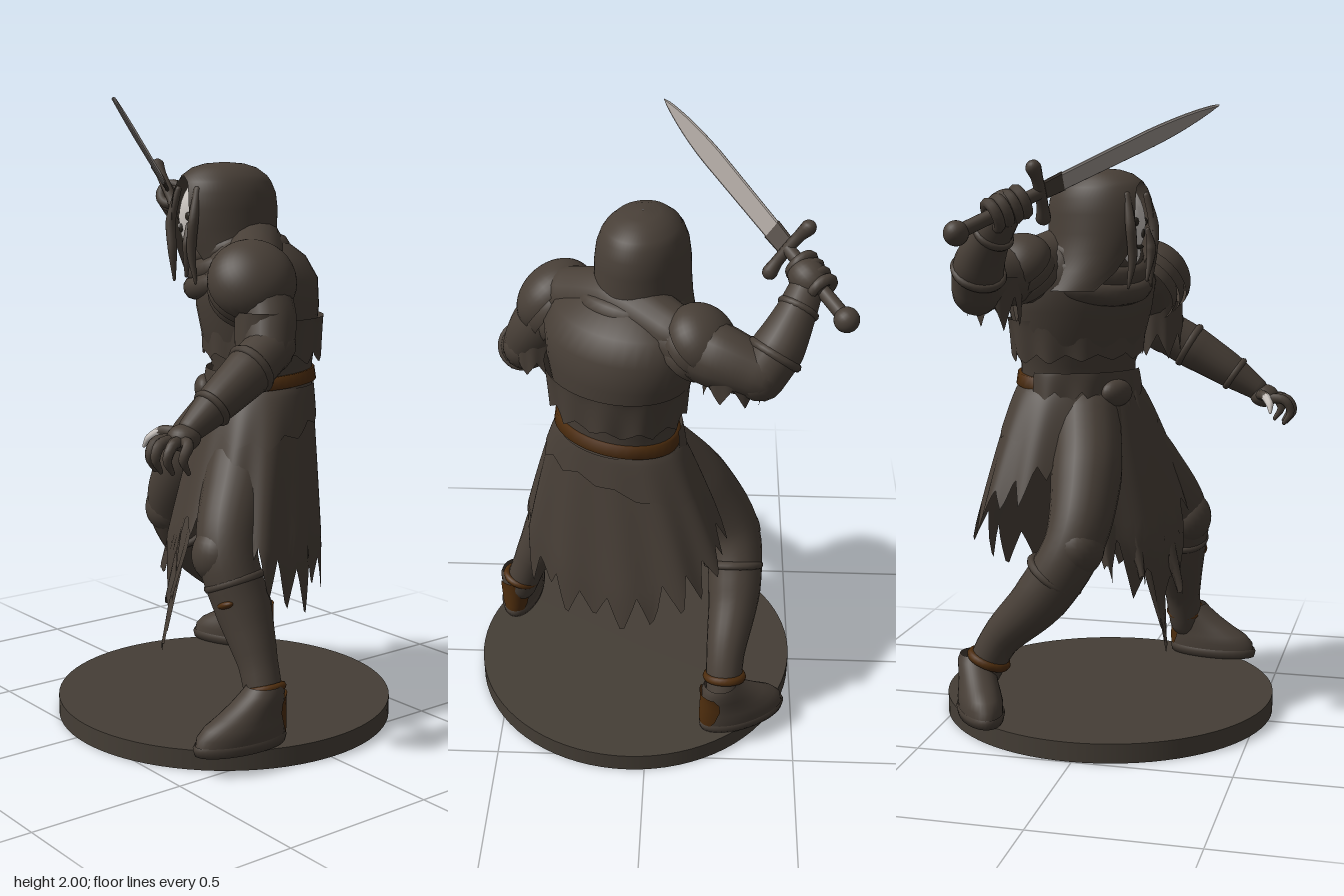
import * as THREE from 'three';
import { mergeVertices } from 'three/addons/utils/BufferGeometryUtils.js';

const material = (name, color) => {
  const m = new THREE.MeshStandardMaterial({ color, side: THREE.DoubleSide });
  m.name = name;
  return m;
};
const rnd = (i) => { const s = Math.sin(i * 127.1 + 3.7) * 43758.5; return s - Math.floor(s); };
const lerp = THREE.MathUtils.lerp;

// Smooth surface from fn(i, j): i runs around, j runs along
function grid(nu, nv, fn) {
  const pos = [], idx = [];
  for (let j = 0; j <= nv; j++) for (let i = 0; i <= nu; i++) pos.push(...fn(i, j));
  for (let j = 0; j < nv; j++) for (let i = 0; i < nu; i++) {
    const a = j * (nu + 1) + i, b = a + 1, c = a + nu + 1, d = c + 1;
    idx.push(a, b, d, a, d, c);
  }
  let g = new THREE.BufferGeometry();
  g.setAttribute('position', new THREE.Float32BufferAttribute(pos, 3));
  g.setIndex(idx);
  g = mergeVertices(g, 1e-5);
  g.computeVertexNormals();
  return g;
}

// Rounded tube through [x, y, z, radius] points
function limb(pts, nu = 18, n = 20) {
  const curve = new THREE.CatmullRomCurve3(pts.map((p) => new THREE.Vector3(p[0], p[1], p[2])));
  const f = curve.computeFrenetFrames(n, false), cap = 4;
  return grid(nu, n + 2 * cap, (i, j) => {
    const k = THREE.MathUtils.clamp(j - cap, 0, n), t = curve.getUtoTmapping(k / n) * (pts.length - 1);
    const s = Math.min(Math.floor(t), pts.length - 2), r = lerp(pts[s][3], pts[s + 1][3], t - s);
    const out = (j - cap - k) / cap, a = (out * Math.PI) / 2, th = (i % nu / nu) * Math.PI * 2;
    return curve.getPointAt(k / n).addScaledVector(f.tangents[k], r * Math.sin(a))
      .addScaledVector(f.normals[k], r * Math.cos(a) * Math.cos(th))
      .addScaledVector(f.binormals[k], r * Math.cos(a) * Math.sin(th)).toArray();
  });
}

// Stack of ellipses, bottom to top: [y, halfX, halfZ, centreZ, half angle left open at the front]
function shell(rows, nu = 40) {
  return grid(nu, rows.length - 1, (i, j) => {
    const [y, rx, rz, cz = 0, gap = 0] = rows[j];
    const a = lerp(gap, 2 * Math.PI - gap, i / nu);
    return [Math.sin(a) * rx, y, cz + Math.cos(a) * rz];
  });
}

// Hanging cloth with a torn hem; hem(angle) is its lower edge, shift moves the hem forward
function rag({ y, top, bot, drop, hem, teeth, amp, ripple = 0.03, shift = 0, from = -Math.PI, to = Math.PI }) {
  const nu = 160, nv = 14;
  return grid(nu, nv, (i, j) => {
    const a = lerp(from, to, i / nu), p = (i / nu) * teeth, tri = Math.abs((p % 1) * 2 - 1);
    const low = hem(a) + amp * (tri - rnd(Math.floor(p) % teeth) * (1 - tri));
    const h = lerp(low, y, j / nv), s = Math.pow(Math.min(1, (y - h) / drop), 0.8);
    const k = 1 + ripple * s * Math.sin(a * 11);
    return [Math.sin(a) * lerp(top[0], bot[0], s) * k, h, Math.cos(a) * lerp(top[1], bot[1], s) * k + shift * s];
  });
}

const SKIRT_HEM = [[-3.15, .45], [-2.7, .5], [-2.2, .62], [-1.5, .7], [-1, .77], [-.6, .87], [-.32, .64], [0, .48],
  [.4, .36], [.62, .6], [.85, .72], [1.3, .64], [1.8, .56], [2.4, .46], [3.15, .45]];
function skirtHem(a) {
  const i = Math.max(1, SKIRT_HEM.findIndex((p) => p[0] >= a)), [a0, h0] = SKIRT_HEM[i - 1], [a1, h1] = SKIRT_HEM[i];
  return lerp(h0, h1, (a - a0) / (a1 - a0));
}

export function createModel() {
  const cloth = material('darkCloth', 0x483f37), leather = material('brownLeather', 0x4e2d0d);
  const bone = material('paleBone', 0xcbc5c0), steel = material('steel', 0xa39b95);
  const stone = material('baseStone', 0x453e36), shadow = material('darkHollow', 0x2b2620);
  const model = new THREE.Group();
  const group = (name, x = 0, y = 0, z = 0, ry = 0) => {
    const g = new THREE.Group();
    g.name = name; g.position.set(x, y, z); g.rotation.y = ry;
    model.add(g);
    return g;
  };
  const add = (parent, name, geo, mat, x = 0, y = 0, z = 0) => {
    const m = new THREE.Mesh(geo, mat);
    m.name = name; m.position.set(x, y, z);
    parent.add(m);
    return m;
  };
  const ball = (parent, name, mat, p, s) => {
    const m = add(parent, name, new THREE.SphereGeometry(1, 24, 16), mat, ...p);
    m.scale.set(...s);
    return m;
  };
  // Ring wrapped round a limb running along dir
  const band = (name, mat, p, dir, r, tube) => {
    const m = add(model, name, new THREE.TorusGeometry(r, tube, 8, 28), mat, ...p);
    m.quaternion.setFromUnitVectors(new THREE.Vector3(0, 0, 1), new THREE.Vector3(...dir).normalize());
  };

  add(model, 'base', new THREE.CylinderGeometry(.552, .552, .062, 80), stone, .055, .031, -.01);

  // Torso, turned towards the sword arm
  const body = group('body', .1, 0, -.13, -.7);
  add(body, 'torso', shell([[1.0, .001, .001], [1.0, .2, .15], [1.1, .205, .16], [1.17, .205, .165], [1.25, .23, .185, .01],
    [1.35, .255, .2, .015], [1.44, .27, .2, .02], [1.51, .24, .17, .03], [1.57, .16, .12, .06], [1.6, .001, .001, .08]]), cloth);
  add(body, 'shoulderYoke', limb([[-.21, 1.5, .04, .085], [0, 1.535, .03, .1], [.22, 1.485, .02, .09]]), cloth);
  add(body, 'tornVest', rag({ y: 1.32, top: [.252, .2], bot: [.23, .188], drop: .14, hem: () => 1.19, teeth: 13, amp: .02 }), cloth);
  add(body, 'belt', shell([[1.095, .205, .16], [1.095, .222, .176], [1.135, .218, .174], [1.135, .2, .16]]), leather, 0, .113, -.01).rotation.x = .1;
  body.getObjectByName('belt').position.y = .006;
  body.getObjectByName('belt').position.z = -.112;
  add(body, 'sash', rag({ y: 1.15, top: [.222, .182], bot: [.235, .192], drop: .1, hem: () => 1.06, teeth: 5, amp: .03, from: -1.3, to: .75 }), cloth);
  ball(body, 'sashKnot', cloth, [.02, 1.08, .185], [.06, .045, .035]);
  add(body, 'skirt', rag({ y: 1.11, top: [.208, .163], bot: [.435, .25], drop: .52, hem: skirtHem, teeth: 23, amp: .085, shift: .055 }), cloth);
  add(body, 'overSkirt', rag({ y: 1.1, top: [.215, .17], bot: [.335, .215], drop: .24, hem: (a) => .96 + .03 * Math.cos(a * 2), teeth: 9, amp: .02, ripple: .015, shift: .028, from: .5, to: 5.2 }), cloth);
  // Long torn strips at the front, gathered under the sash
  [[-.08, .47, -.3], [.03, .42, -.05], [.12, .2, .1], [.2, .36, .1]].forEach(([x, low, tilt], k) =>
    add(body, 'frontStrip', grid(8, 12, (i, j) => {
      const t = j / 12, u = i / 4 - 1, w = .055 * (t < .25 ? .25 + t * 3 : 1);
      const px = (x + u * w) * lerp(1, .6, t) + tilt * .08 * (1 - t);
      return [px, lerp(low, 1.08, t) + (rnd(i + k * 9) * .06 + Math.abs(u) * .05) * (1 - t),
        lerp(.325, .178, t) * Math.sqrt(1 - Math.pow(px / lerp(.5, .23, t), 2)) + .01 * Math.cos(u * 3)];
    }), cloth));

  // Scarf round the neck
  [[.155, .04, 1.5, .08, .3], [.175, .038, 1.46, .075, .36], [.13, .04, 1.54, .09, .22]].forEach(([r, t, y, z, tilt]) => {
    const m = add(body, 'scarfFold', new THREE.TorusGeometry(r, t, 10, 40), cloth, 0, y, z);
    m.rotation.x = Math.PI / 2 + tilt;
    m.scale.set(1, .9, 1);
  });

  // Hooded head
  const head = group('head', .022, 0, -.035, -.22);
  add(head, 'hood', shell([[1.42, .2, .17, -.05, .9], [1.48, .172, .165, -.03, .62], [1.54, .155, .168, -.01, .5], [1.6, .147, .175, 0, .5],
    [1.66, .145, .178, 0, .5], [1.71, .138, .172, 0, .46], [1.745, .125, .157, 0, .34], [1.765, .112, .143, 0, 0],
    [1.79, .085, .108], [1.803, .05, .065], [1.808, .001, .001]], 60), cloth);
  ball(head, 'hoodLining', shadow, [0, 1.62, -.01], [.125, .15, .13]);
  ball(head, 'face', bone, [0, 1.63, .06], [.078, .135, .094]);
  ball(head, 'jaw', bone, [0, 1.54, .085], [.05, .055, .055]);
  for (const s of [-1, 1]) {
    ball(head, 'eyeSocket', shadow, [s * .032, 1.637, .141], [.021, .014, .009]);
    ball(head, 'cheekBone', bone, [s * .042, 1.605, .125], [.022, .014, .018]);
    add(head, 'hairLock', limb([[s * .075, 1.72, .13, .012], [s * .088, 1.62, .15, .018], [s * .075, 1.52, .15, .016], [s * .085, 1.43, .14, .005]], 8), cloth);
  }
  add(head, 'looseLock', limb([[.045, 1.61, .148, .008], [.055, 1.55, .155, .018], [.035, 1.45, .15, .006]], 8), cloth);
  ball(head, 'noseHollow', shadow, [0, 1.6, .152], [.008, .014, .006]);
  ball(head, 'mouth', shadow, [.005, 1.557, .137], [.027, .007, .009]);

  // Layered shoulder guards, domes tilted outwards along dir
  const shoulder = (name, p, dir, size) => {
    const g = group(name, ...p);
    g.quaternion.setFromUnitVectors(new THREE.Vector3(0, 1, 0), new THREE.Vector3(...dir).normalize());
    [[1, 0], [.97, -.035], [.92, -.07]].forEach(([k, y]) => {
      const m = add(g, 'shoulderPlate', new THREE.SphereGeometry(size * k, 32, 12, 0, 2 * Math.PI, 0, 1.65), cloth, 0, .035 + y, 0);
      m.scale.y = .78;
    });
  };
  shoulder('leftShoulder', [.28, 1.425, .065], [.75, .65, .4], .138);
  shoulder('rightShoulder', [-.14, 1.475, -.25], [-.6, .75, -.3], .115);

  // Left arm, reaching forward
  add(model, 'leftUpperArm', limb([[.28, 1.45, .06, .1], [.37, 1.34, .07, .088], [.41, 1.25, .1, .078]]), cloth);
  add(model, 'leftForearm', limb([[.41, 1.26, .085, .073], [.435, 1.19, .2, .075], [.45, 1.11, .33, .06], [.457, 1.05, .42, .04]]), cloth);
  band('leftCuff', cloth, [.434, 1.2, .185], [.05, -.5, .85], .07, .014);
  band('leftWristCuff', cloth, [.452, 1.1, .345], [.02, -.55, .8], .053, .012);
  add(group('leftSleeve', .365, 0, .08), 'tornSleeve', rag({ y: 1.36, top: [.09, .09], bot: [.08, .09], drop: .2, hem: () => 1.2, teeth: 7, amp: .05 }), cloth);
  ball(model, 'leftPalm', cloth, [.457, 1.025, .45], [.05, .04, .05]);
  [[.42, .555], [.455, .56], [.492, .545], [.52, .51]].forEach(([x, z], i) =>
    add(model, 'leftFinger', limb([[.43 + i * .018, 1.02, .47, .018], [x, 1.015, z - .03, .017], [x + .005, .975, z - .008, .014], [x, .935, z - .03, .007]], 8, 12), cloth));
  add(model, 'leftThumb', limb([[.43, 1.03, .44, .02], [.375, 1.035, .46, .017], [.36, 1.03, .47, .015]], 8, 10), cloth);
  add(model, 'leftThumbTip', limb([[.36, 1.03, .47, .016], [.335, 1.01, .485, .013], [.315, .985, .49, .005]], 8, 8), bone);

  // Right arm, raised
  add(model, 'rightUpperArm', limb([[-.08, 1.48, -.22, .1], [-.22, 1.465, -.3, .098], [-.33, 1.44, -.34, .08]]), cloth);
  add(model, 'rightForearm', limb([[-.335, 1.43, -.34, .078], [-.385, 1.51, -.315, .08], [-.43, 1.59, -.265, .062], [-.465, 1.66, -.21, .05]]), cloth);
  band('rightCuff', cloth, [-.375, 1.49, -.32], [-.5, .75, .4], .075, .014);
  band('rightWristCuff', cloth, [-.44, 1.605, -.25], [-.45, .7, .55], .054, .012);
  add(group('rightSleeve', -.255, 0, -.31), 'tornSleeve', rag({ y: 1.47, top: [.1, .09], bot: [.08, .08], drop: .2, hem: () => 1.35, teeth: 7, amp: .06 }), cloth);

  // Sword: local y runs from pommel to tip, local x across the blade
  const sword = group('sword', -.575, 1.61, -.32);
  const d = new THREE.Vector3(.545, .388, .675).normalize();
  const n = new THREE.Vector3(-d.z, 0, d.x).normalize();
  sword.quaternion.setFromRotationMatrix(new THREE.Matrix4().makeBasis(new THREE.Vector3().crossVectors(d, n), d, n));
  sword.rotateY(.48);
  ball(sword, 'pommel', cloth, [0, 0, 0], [.038, .038, .038]);
  add(sword, 'grip', new THREE.CylinderGeometry(.02, .022, .28, 16), cloth, 0, .15, 0);
  add(sword, 'guard', limb([[-.09, .285, 0, .024], [-.05, .29, 0, .018], [.05, .29, 0, .018], [.09, .285, 0, .024]], 10), cloth);
  const plate = (pts) => {
    const s = new THREE.Shape();
    s.moveTo(-.026, pts[0]); s.lineTo(-.029, pts[1]);
    if (pts[2]) { s.quadraticCurveTo(-.025, .85, 0, pts[2]); s.quadraticCurveTo(.03, .82, .029, .68); }
    else s.lineTo(.029, pts[1]);
    s.lineTo(.026, pts[0]);
    return new THREE.ExtrudeGeometry(s, { depth: .004, bevelThickness: .004, bevelSize: .004, bevelSegments: 1 });
  };
  add(sword, 'blade', plate([.37, .68, .95]), steel, 0, 0, -.002);
  add(sword, 'bladeRoot', plate([.29, .37]), cloth, 0, 0, -.002);
  ball(sword, 'rightPalm', cloth, [.005, .175, -.01], [.056, .068, .056]);
  for (let i = 0; i < 4; i++) {
    const f = add(sword, 'rightFinger', new THREE.TorusGeometry(.038, .018, 8, 20), cloth, 0, .125 + i * .032, 0);
    f.rotation.x = Math.PI / 2;
  }

  // Legs: wide stance with bent knees
  add(model, 'leftLeg', limb([[.15, 1.0, -.06, .12], [.24, .8, .08, .112], [.315, .62, .18, .095], [.38, .44, .165, .088], [.45, .29, .165, .062], [.49, .18, .17, .058]], 22, 32), cloth);
  add(model, 'rightLeg', limb([[.0, 1.0, -.08, .115], [-.155, .82, -.04, .115], [-.275, .63, -.05, .095], [-.29, .46, -.15, .09], [-.265, .3, -.3, .064], [-.26, .18, -.365, .058]], 22, 32), cloth);
  ball(model, 'leftKneeGuard', cloth, [.305, .61, .21], [.085, .09, .08]);
  ball(model, 'rightKneeGuard', cloth, [-.285, .62, -.035], [.09, .09, .085]);
  band('leftBootTop', cloth, [.345, .53, .175], [-.35, .9, .1], .085, .014);
  band('rightBootTop', cloth, [-.285, .53, -.11], [0, .8, .55], .088, .014);
  ball(model, 'shinBuckle', leather, [.388, .475, .243], [.035, .013, .02]).rotation.z = .35;
  band('leftAnkleStrap', leather, [.485, .222, .168], [-.3, .95, 0], .055, .013);
  band('rightAnkleStrap', leather, [-.263, .23, -.34], [0, .9, .35], .059, .015);

  // Boots with leather heels
  const boot = (name, x, z, ry) => {
    const g = group(name, x, .064, z, ry);
    add(g, 'sole', shell([[0, .001, .001], [0, .07, .155], [.02, .074, .16], [.03, .07, .155]]), cloth);
    add(g, 'foot', shell([[.02, .068, .152], [.05, .07, .15, -.003], [.075, .066, .138, -.015], [.1, .062, .115, -.037],
      [.13, .06, .09, -.06], [.16, .058, .07, -.08], [.18, .05, .055, -.085]]), cloth);
    add(g, 'heelPatch', shell([[.03, .074, .158, 0, 2.65], [.05, .075, .157, -.003, 2.5], [.1, .068, .121, -.037, 2.25],
      [.13, .066, .096, -.06, 2.2], [.155, .066, .077, -.08, 2.35]]), leather);
  };
  boot('leftBoot', .495, .27, -.12);
  boot('rightBoot', -.325, -.35, -1.08);
  return model;
}
